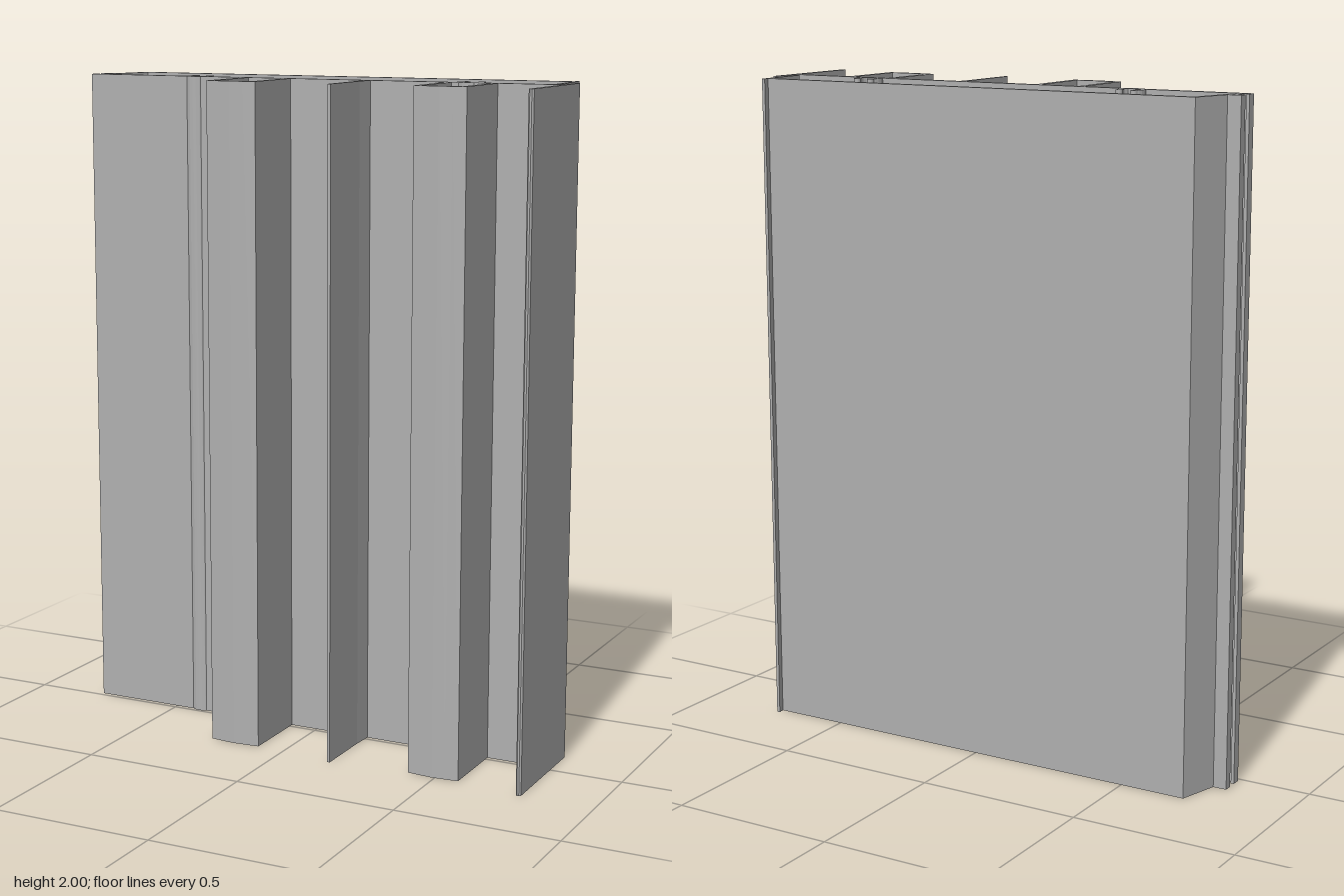
import * as THREE from 'three';

const HEIGHT = 2;

export function createModel() {
  const model = new THREE.Group();
  model.name = 'extrudedPanel';
  const aluminium = new THREE.MeshStandardMaterial({ color: 0xb0b0b0 });
  aluminium.name = 'aluminium grey';

  // Extrudes a plan shape upright; shape y is -z
  function upright(name, shape) {
    const geo = new THREE.ExtrudeGeometry(shape, { depth: HEIGHT, bevelEnabled: false, curveSegments: 10 });
    geo.rotateX(-Math.PI / 2);
    const mesh = new THREE.Mesh(geo, aluminium);
    mesh.name = name;
    model.add(mesh);
  }
  // Part from plan points [x, z]
  const part = (name, pts) =>
    upright(name, new THREE.Shape(pts.map(([x, z]) => new THREE.Vector2(x, -z))));
  const bar = (name, x0, x1, z0, z1) => part(name, [[x0, z0], [x1, z0], [x1, z1], [x0, z1]]);

  // Front and back skins with the sloped left side
  bar('frontPlate', -0.779, 0.766, -0.031, -0.014);
  part('backPlate', [[-0.702, -0.218], [0.728, -0.22], [0.729, -0.203], [-0.691, -0.202],
    [-0.722, -0.079], [-0.742, -0.079], [-0.738, -0.093]]);

  // Left clip groove
  bar('clipFlange', -0.779, -0.725, -0.094, -0.081);
  bar('clipWall', -0.757, -0.742, -0.082, -0.03);
  bar('clipLipBack', -0.779, -0.769, -0.083, -0.068);
  bar('clipLipFront', -0.779, -0.769, -0.042, -0.03);

  // Right side wall, its foot and the long edge fin
  part('rightWall', [[0.722, -0.24], [0.732, -0.24], [0.736, -0.2], [0.743, -0.095],
    [0.751, -0.086], [0.744, -0.076], [0.745, -0.052], [0.732, -0.052], [0.727, -0.2]]);
  bar('rightFoot', 0.734, 0.766, -0.065, -0.052);
  part('rightFin', [[0.767, -0.123], [0.777, -0.123], [0.779, 0.235], [0.774, 0.24],
    [0.768, 0.24], [0.763, 0.235], [0.763, -0.065], [0.767, -0.065]]);

  // Tapered middle fin
  part('middleFin', [[0.154, -0.015], [0.174, -0.015], [0.17, 0.05], [0.169, 0.236],
    [0.16, 0.236], [0.157, 0.05]]);

  // Front channels with slightly bowed faces
  for (const c of [-0.167, 0.492]) {
    part('frontChannel', [[c - 0.08, -0.015], [c - 0.08, 0.208], [c - 0.04, 0.212], [c, 0.215],
      [c + 0.04, 0.212], [c + 0.08, 0.208], [c + 0.08, -0.015], [c + 0.062, -0.015],
      [c + 0.062, 0.194], [c, 0.199], [c - 0.062, 0.194], [c - 0.062, -0.015]]);
  }

  // Open round screw ports inside the cavity
  for (const c of [-0.417, 0.475]) {
    const gap = Math.PI * 0.17, cy = 0.047;
    const start = Math.PI / 2 + gap, end = Math.PI * 2.5 - gap;
    const ring = new THREE.Shape();
    ring.absarc(c, cy, 0.041, start, end, false);
    ring.absarc(c, cy, 0.025, end, start, true);
    upright('screwPort', ring);
    for (const s of [-1, 1]) {
      const tip = new THREE.Shape();
      tip.absarc(c + s * 0.024, 0.076, 0.01, 0, Math.PI * 2, false);
      upright('screwPortTip', tip);
    }
  }
  return model;
}
